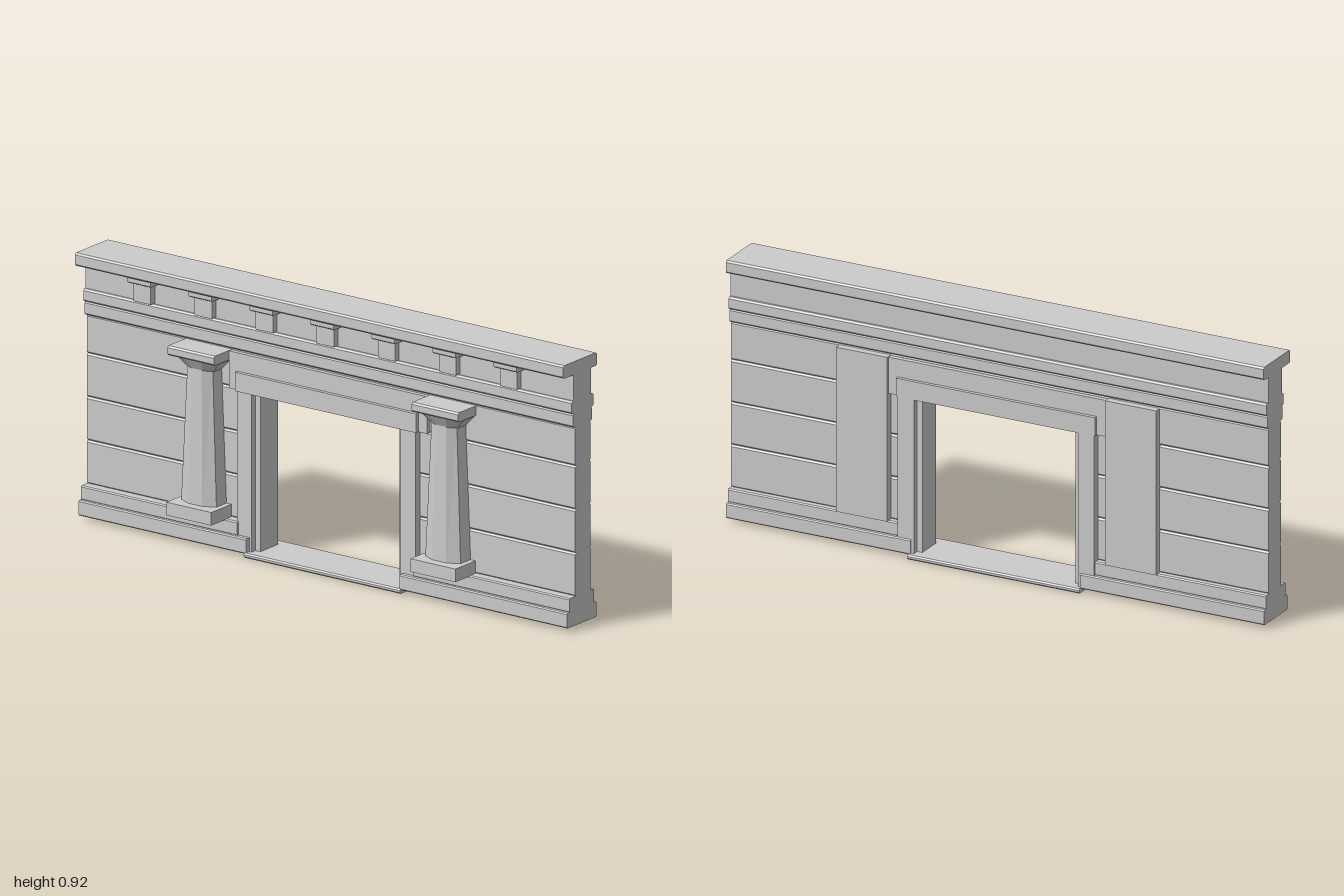
import * as THREE from 'three';

const mat = new THREE.MeshStandardMaterial({ color: 0xcccccc, flatShading: true, side: THREE.DoubleSide });

function add(parent, name, geometry) {
  const m = new THREE.Mesh(geometry, mat);
  m.name = name;
  parent.add(m);
  return m;
}

// Horizontal course running along x, with bevelled long edges
function band(parent, name, x0, x1, y0, y1, zBack, zFront, c = 0.006) {
  const a = -zFront, b = -zBack;
  const s = new THREE.Shape([
    [a + c, y0], [b - c, y0], [b, y0 + c], [b, y1 - c],
    [b - c, y1], [a + c, y1], [a, y1 - c], [a, y0 + c],
  ].map(p => new THREE.Vector2(...p)));
  const g = new THREE.ExtrudeGeometry(s, { depth: x1 - x0, bevelEnabled: false });
  g.rotateY(Math.PI / 2);
  g.translate(x0, 0, 0);
  return add(parent, name, g);
}

function box(parent, name, x0, x1, y0, y1, z0, z1) {
  const g = new THREE.BoxGeometry(x1 - x0, y1 - y0, z1 - z0);
  g.translate((x0 + x1) / 2, (y0 + y1) / 2, (z0 + z1) / 2);
  return add(parent, name, g);
}

// Same band or box on both sides of the doorway
function pair(make, parent, name, x0, x1, ...rest) {
  make(parent, name + 'Left', x0, x1, ...rest);
  make(parent, name + 'Right', -x1, -x0, ...rest);
}

// Faceted half column: rings of [y, half width, side edge z, front z]
function facetedHalf(rings) {
  const pos = [];
  const loops = rings.map(([y, w, zs, zf]) => [
    [-w, y, 0], [-w, y, zs], [-w * 0.4, y, zf], [w * 0.4, y, zf], [w, y, zs], [w, y, 0],
  ]);
  for (let r = 0; r < loops.length - 1; r++) {
    for (let i = 0; i < 5; i++) {
      const a = loops[r][i], b = loops[r][i + 1], c = loops[r + 1][i + 1], d = loops[r + 1][i];
      pos.push(...a, ...b, ...c, ...a, ...c, ...d);
    }
  }
  const g = new THREE.BufferGeometry();
  g.setAttribute('position', new THREE.Float32BufferAttribute(pos, 3));
  g.computeVertexNormals();
  return g;
}

function makeColumn(name, x) {
  const col = new THREE.Group();
  col.name = name;
  box(col, 'plinth', -0.092, 0.092, 0.11, 0.155, 0, 0.122);
  add(col, 'shaft', facetedHalf([[0.155, 0.072, 0.067, 0.088], [0.62, 0.052, 0.06, 0.079]]));
  add(col, 'capital', facetedHalf([[0.615, 0.053, 0.058, 0.076], [0.657, 0.092, 0.08, 0.101]]));
  band(col, 'abacus', -0.095, 0.095, 0.657, 0.69, 0, 0.112);
  col.position.x = x;
  return col;
}

export function createModel() {
  const root = new THREE.Group();
  root.name = 'doorwayWall';

  // Wall courses: split by the doorway below, continuous above
  const wall = new THREE.Group();
  wall.name = 'wall';
  root.add(wall);
  for (const y of [0.11, 0.26, 0.41]) pair(band, wall, 'wallCourse', 0.3, 1, y, y + 0.15, -0.073, 0.012);
  band(wall, 'topCourse', -1, 1, 0.56, 0.695, -0.073, 0.012);
  band(wall, 'lowerMoulding', -1, 1, 0.695, 0.743, -0.081, 0.024);
  band(wall, 'upperMoulding', -1, 1, 0.743, 0.787, -0.089, 0.031);
  box(wall, 'frieze', -1, 1, 0.785, 0.877, -0.075, 0.02);
  band(wall, 'cornice', -1, 1, 0.877, 0.922, -0.108, 0.077);

  // Stepped base
  pair(band, root, 'lowerBase', 0.315, 1, 0.012, 0.065, -0.105, 0.057, 0.004);
  pair(band, root, 'upperBase', 0.36, 1, 0.063, 0.112, -0.092, 0.044, 0.004);

  // Brackets under the cornice
  for (let i = -3; i <= 3; i++) {
    const bracket = new THREE.Group();
    bracket.name = 'bracket';
    box(bracket, 'bracketBody', -0.035, 0.035, 0.79, 0.857, 0.01, 0.043);
    band(bracket, 'bracketCap', -0.047, 0.047, 0.855, 0.877, 0.01, 0.061, 0.004);
    bracket.position.x = i * 0.25;
    root.add(bracket);
  }

  // Door surround
  const door = new THREE.Group();
  door.name = 'doorSurround';
  root.add(door);
  pair(box, door, 'innerJamb', 0.285, 0.31, 0.012, 0.56, -0.078, 0.018);
  pair(box, door, 'outerJamb', 0.305, 0.365, 0.012, 0.56, -0.1, 0.038);
  box(door, 'lintel', -0.37, 0.37, 0.56, 0.625, -0.103, 0.042);
  box(door, 'overdoor', -0.405, 0.405, 0.56, 0.688, -0.09, 0.028);
  band(door, 'threshold', -0.32, 0.32, 0, 0.017, -0.12, 0.062, 0.005);

  // Columns in front, flat pilasters behind
  root.add(makeColumn('columnLeft', 0.5), makeColumn('columnRight', -0.5));
  pair(box, root, 'rearPilaster', 0.405, 0.595, 0.11, 0.69, -0.098, -0.06);

  return root;
}
